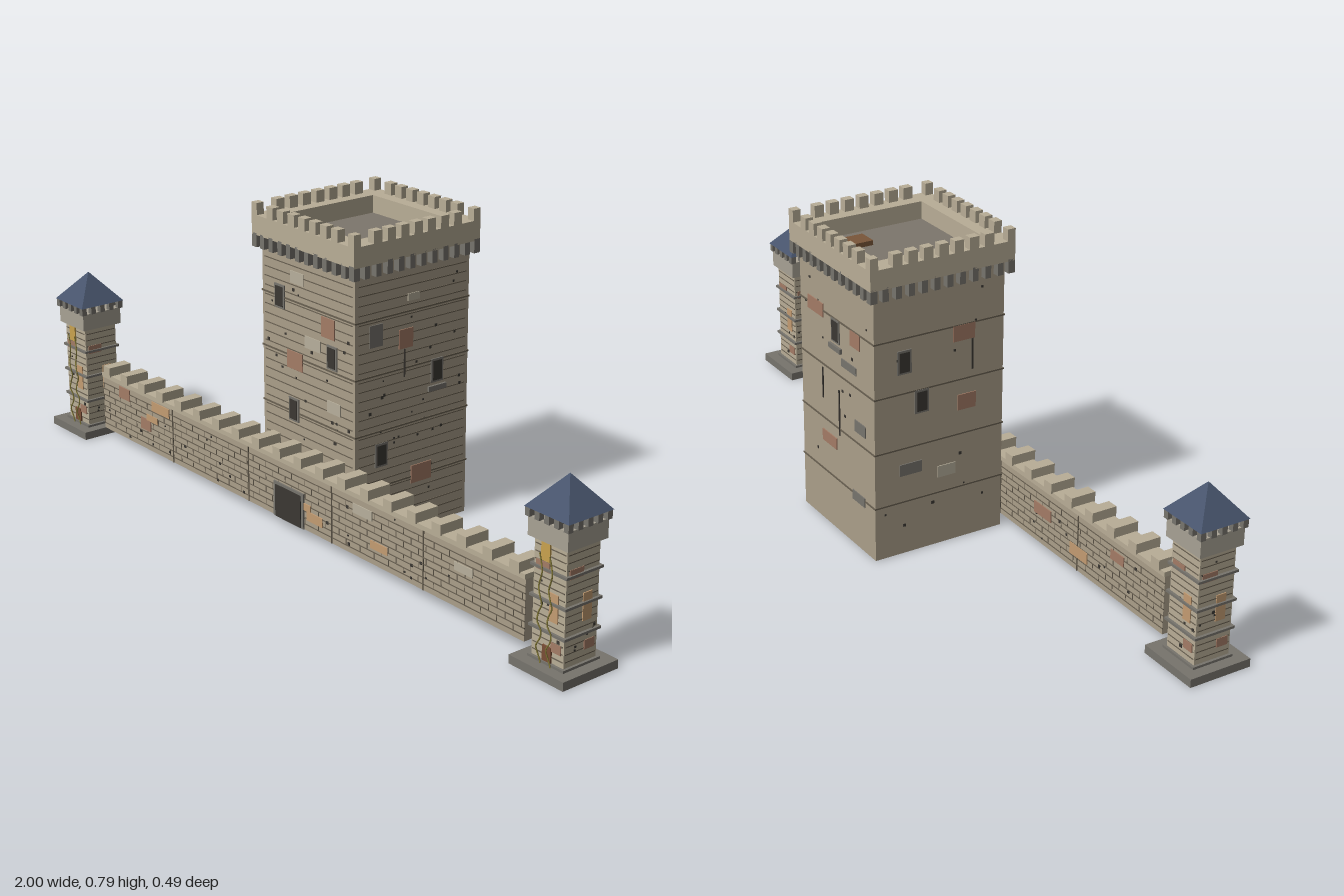
import * as THREE from 'three';

const mats = {};
const mat = (color) => (mats[color] ??= new THREE.MeshStandardMaterial({ color, flatShading: true }));
const STONE = 0xab9f8a, PALE = 0xb9ae97, JOINT = 0x6a6152, GREY = 0x77746d, DARK = 0x3b3833;
const RED = 0xa47c66, ORANGE = 0xc49c72, ROOF = 0x47546c, LIGHT = 0xb8b09c;

function box(parent, name, w, h, d, x, y, z, color) {
  const m = new THREE.Mesh(new THREE.BoxGeometry(w, h, d), mat(color));
  m.name = name;
  m.position.set(x, y, z);
  parent.add(m);
  return m;
}

function group(parent, name, x = 0, y = 0, z = 0) {
  const g = new THREE.Group();
  g.name = name;
  g.position.set(x, y, z);
  parent.add(g);
  return g;
}

function seeded(seed) {
  return () => (seed = (seed * 16807) % 2147483647) / 2147483647;
}

// Four faces in the order front, +x, back, -x; each has local +z pointing outwards
function faces(parent, name) {
  return [0, 1, 2, 3].map((i) => {
    const g = group(parent, name);
    g.rotation.y = (i * Math.PI) / 2;
    return g;
  });
}

// Thin mortar lines across one face
function courses(face, half, width, y0, y1, step) {
  for (let y = y0; y < y1; y += step) box(face, 'mortarLine', width, 0.0025, 0.002, 0, y, half, JOINT);
}

// Replaced stones, each [u, y, w, h, color]
function patches(face, half, list) {
  for (const [u, y, w, h, c] of list) box(face, 'patchStone', w, h, 0.005, u, y, half, c);
}

function windowAt(face, half, u, y, sill = false) {
  box(face, 'windowFrame', 0.038, 0.06, 0.006, u, y, half, GREY);
  box(face, 'windowOpening', 0.028, 0.05, 0.009, u, y, half, DARK);
  if (sill) box(face, 'windowSill', 0.056, 0.013, 0.012, u, y - 0.044, half, GREY);
}

function pits(face, half, width, y0, y1, count, seed) {
  const r = seeded(seed);
  for (let i = 0; i < count; i++) {
    const s = 0.004 + r() * 0.004;
    box(face, 'pit', s, s, 0.003, (r() - 0.5) * width, y0 + r() * (y1 - y0), half, DARK);
  }
}

function buildKeep(root) {
  const keep = group(root, 'keep', -0.002, 0, -0.05);
  const H = 0.177, R = 0.1945;
  box(keep, 'keepBody', 2 * H, 0.705, 2 * H, 0, 0.3575, 0, STONE);
  box(keep, 'roofFloor', 0.29, 0.006, 0.29, 0, 0.712, 0, 0x7d766c);
  box(keep, 'hatch', 0.052, 0.014, 0.052, 0.075, 0.72, -0.073, 0x7a5639);
  for (const y of [0.145, 0.287, 0.43, 0.57]) box(keep, 'stringCourse', 2 * H + 0.004, 0.004, 2 * H + 0.004, 0, y, 0, JOINT);

  // Parapet ring
  const ring = new THREE.Shape([[-R, -R], [R, -R], [R, R], [-R, R]].map((p) => new THREE.Vector2(...p)));
  const q = 0.143;
  ring.holes.push(new THREE.Path([[-q, -q], [-q, q], [q, q], [q, -q]].map((p) => new THREE.Vector2(...p))));
  const parapet = new THREE.Mesh(new THREE.ExtrudeGeometry(ring, { depth: 0.05, bevelEnabled: false }), mat(PALE));
  parapet.name = 'parapet';
  parapet.rotation.x = -Math.PI / 2;
  parapet.position.y = 0.71;
  keep.add(parapet);

  const sides = faces(keep, 'keepFace');
  sides.forEach((f, i) => {
    for (let k = -3; k <= 3; k++) box(f, 'merlon', 0.025, 0.032, 0.021, k * 0.041, 0.774, R - 0.0105, PALE);
    for (let k = -4.5; k <= 4.5; k++) box(f, 'corbel', 0.016, 0.035, 0.018, k * 0.0344, 0.697, R - 0.009, GREY);
    box(f, 'cornerMerlon', 0.021, 0.032, 0.021, R - 0.0105, 0.774, R - 0.0105, PALE);
    box(f, 'cornerCorbel', 0.018, 0.035, 0.018, R - 0.009, 0.697, R - 0.009, GREY);
    pits(f, H, 0.31, 0.03, 0.66, i < 2 ? 30 : 10, 11 + i * 97);
    if (i < 2) courses(f, H, 0.335, 0.02, 0.67, 0.0236);
  });

  windowAt(sides[0], H, -0.108, 0.57);
  windowAt(sides[0], H, 0.093, 0.465);
  windowAt(sides[0], H, -0.055, 0.293);
  patches(sides[0], H, [
    [0.078, 0.535, 0.05, 0.05, RED], [-0.05, 0.42, 0.06, 0.045, RED], [0.02, 0.48, 0.06, 0.03, LIGHT],
    [-0.04, 0.63, 0.05, 0.03, LIGHT], [0.1, 0.34, 0.05, 0.03, LIGHT], [-0.1, 0.02, 0.04, 0.018, DARK],
  ]);
  windowAt(sides[1], H, 0.077, 0.403, true);
  windowAt(sides[1], H, -0.097, 0.226);
  patches(sides[1], H, [
    [-0.114, 0.529, 0.04, 0.055, GREY], [-0.022, 0.504, 0.043, 0.048, RED], [0.03, 0.15, 0.064, 0.046, RED],
    [0.001, 0.604, 0.036, 0.018, LIGHT], [-0.026, 0.443, 0.003, 0.07, DARK],
  ]);
  windowAt(sides[2], H, -0.003, 0.54, true);
  patches(sides[2], H, [
    [-0.1, 0.57, 0.075, 0.035, RED], [0.09, 0.55, 0.045, 0.04, RED], [-0.04, 0.24, 0.07, 0.03, RED],
    [0.1, 0.14, 0.06, 0.025, GREY], [0.01, 0.33, 0.004, 0.12, DARK], [0.06, 0.47, 0.07, 0.02, GREY],
    [-0.07, 0.38, 0.004, 0.08, DARK], [0.11, 0.33, 0.05, 0.03, GREY],
  ]);
  windowAt(sides[3], H, -0.097, 0.51);
  windowAt(sides[3], H, -0.05, 0.4);
  patches(sides[3], H, [
    [0.066, 0.55, 0.06, 0.04, RED], [0.075, 0.37, 0.05, 0.04, RED], [-0.08, 0.23, 0.06, 0.03, GREY],
    [0.02, 0.2, 0.05, 0.03, LIGHT], [0.09, 0.5, 0.004, 0.1, DARK],
  ]);
}

function buildWall(root) {
  const wall = group(root, 'curtainWall', -0.003, 0, 0.161);
  const D = 0.026, L = 0.825;
  for (let k = -2; k <= 2; k++) {
    box(wall, 'wallSection', 0.329, 0.15, 2 * D, k * 0.33, 0.105, 0, STONE);
    if (k < 2) box(wall, 'sectionJoint', 0.003, 0.15, 2 * D + 0.004, (k + 0.5) * 0.33, 0.105, 0, JOINT);
  }
  box(wall, 'wallCap', 2 * L, 0.012, 0.058, 0, 0.184, 0, PALE);
  for (let k = 0; k < 20; k++) box(wall, 'wallMerlon', 0.03, 0.026, 0.067, -0.795 + (k * 1.59) / 19, 0.201, 0, PALE);

  const [front, , back] = faces(wall, 'wallFace');
  [front, back].forEach((f, i) => {
    courses(f, D, 2 * L, 0.045, 0.175, 0.0165);
    // Staggered upright joints
    for (let r = 0; r < 7; r++)
      for (let k = 0; k < 32; k++)
        box(f, 'uprightJoint', 0.002, 0.0165, 0.0015, -0.81 + k * 0.052 + (r % 2) * 0.026 - 0.012, 0.0533 + r * 0.0165, D, JOINT);
    pits(f, D, 1.6, 0.04, 0.17, 24, 401 + i * 53);
  });
  patches(front, D, [
    [-0.72, 0.157, 0.05, 0.032, RED], [-0.62, 0.1, 0.045, 0.032, RED], [-0.55, 0.16, 0.08, 0.026, ORANGE],
    [-0.59, 0.122, 0.05, 0.018, ORANGE], [0.1, 0.07, 0.06, 0.024, ORANGE], [0.07, 0.09, 0.03, 0.018, ORANGE],
    [0.28, 0.15, 0.07, 0.024, LIGHT], [0.34, 0.08, 0.06, 0.02, ORANGE], [0.63, 0.13, 0.06, 0.02, LIGHT],
  ]);
  patches(back, D, [
    [-0.6, 0.13, 0.07, 0.03, RED], [-0.45, 0.09, 0.08, 0.03, ORANGE], [-0.33, 0.12, 0.06, 0.025, RED],
    [0.35, 0.12, 0.07, 0.03, RED], [0.5, 0.08, 0.07, 0.03, ORANGE], [0.65, 0.14, 0.05, 0.025, RED],
  ]);
  // Gate
  box(front, 'gateFrame', 0.118, 0.092, 0.008, 0, 0.076, D, GREY);
  box(front, 'gate', 0.1, 0.084, 0.012, 0, 0.073, D, DARK);
}

function buildTurret(root, side) {
  const t = group(root, side > 0 ? 'leftTurret' : 'rightTurret', side * 0.918, 0, 0.164);
  const H = 0.048;
  box(t, 'plinth', 0.164, 0.021, 0.164, 0, 0.0145, 0, GREY);
  box(t, 'turretShaft', 2 * H, 0.285, 2 * H, 0, 0.165, 0, PALE);
  for (const y of [0.028, 0.1, 0.17, 0.241]) box(t, 'turretBand', 0.109, 0.006, 0.109, 0, y, 0, GREY);
  box(t, 'turretHead', 0.118, 0.045, 0.118, 0, 0.3275, 0, 0xa8a294);

  // Pyramid roof on a ring of small merlons
  const roof = new THREE.Mesh(new THREE.ConeGeometry(0.066 * Math.SQRT2, 0.078, 4), mat(ROOF));
  roof.name = 'turretRoof';
  roof.rotation.y = Math.PI / 4;
  roof.position.y = 0.409;
  t.add(roof);

  faces(t, 'turretFace').forEach((f, i) => {
    for (let k = -2; k <= 2; k++) box(f, 'turretMerlon', 0.014, 0.021, 0.014, k * 0.0285, 0.36, 0.057, GREY);
    courses(f, H, 0.09, 0.045, 0.3, 0.0175);
    pits(f, H, 0.08, 0.04, 0.29, 5, 701 + i * 31);
    patches(f, H, [
      [0.015, 0.16, 0.026, 0.065, ORANGE], [-0.02, 0.245, 0.04, 0.022, RED], [0.025, 0.07, 0.03, 0.022, RED],
    ]);
    if (i === 0) {
      box(f, 'litWindow', 0.026, 0.042, 0.008, -0.012, 0.28, H, 0xc9a24e);
      box(f, 'turretDoor', 0.026, 0.04, 0.008, 0, 0.047, H, 0x7a4e36);
    }
  });

  // Climbing vines on the front
  for (const x of [-0.018, 0.012]) {
    const pts = [];
    for (let k = 0; k <= 14; k++) pts.push(new THREE.Vector3(x + 0.006 * Math.sin(k * 1.7), 0.004 + k * 0.0195, 0.058 + 0.002 * Math.cos(k * 2.1)));
    const vine = new THREE.Mesh(new THREE.TubeGeometry(new THREE.CatmullRomCurve3(pts), 40, 0.0018, 5), mat(0x7d7435));
    vine.name = 'vine';
    t.add(vine);
  }
}

export function createModel() {
  const root = new THREE.Group();
  root.name = 'castle';
  buildKeep(root);
  buildWall(root);
  for (const side of [1, -1]) buildTurret(root, side);
  return root;
}
